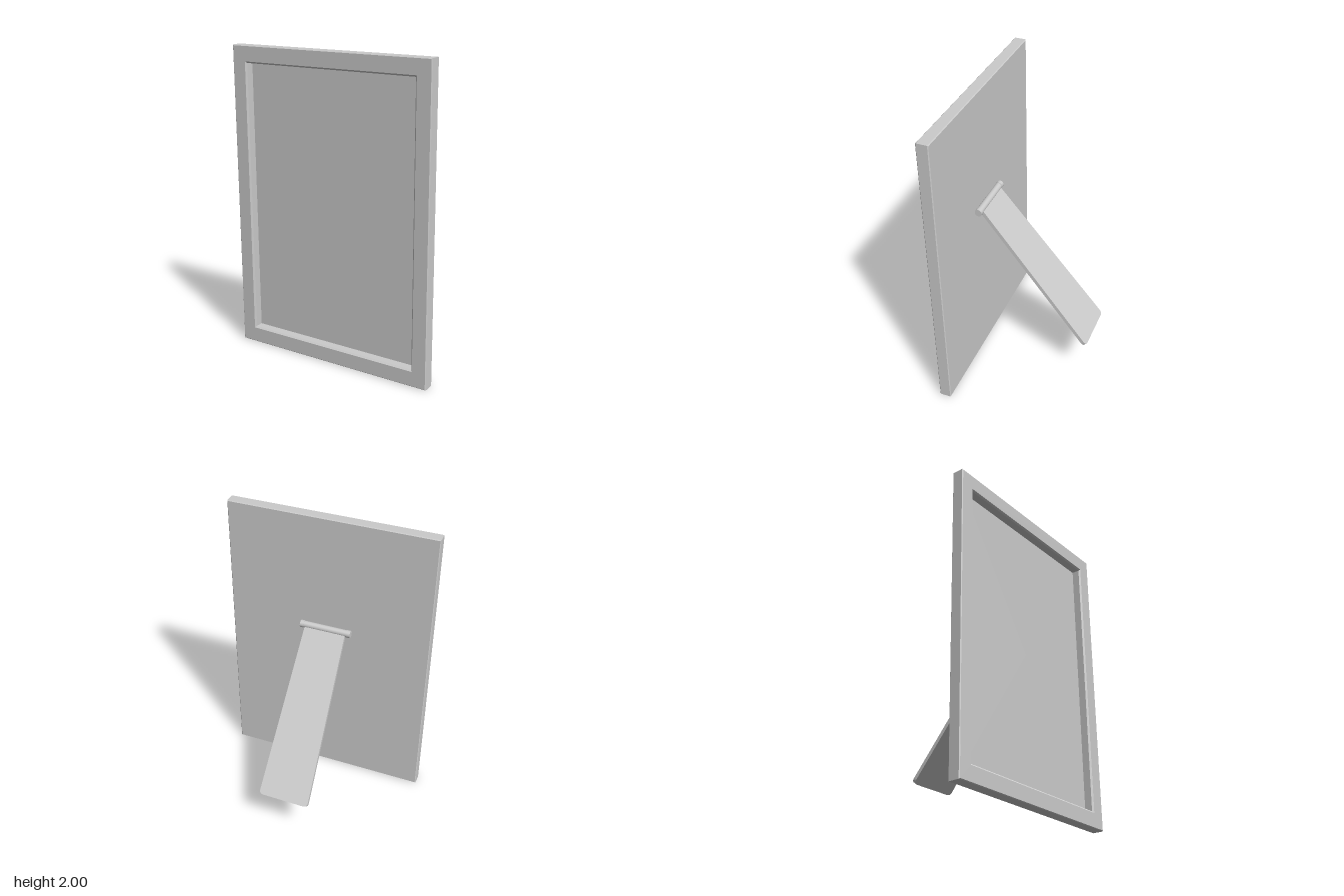
import * as THREE from 'three';

const material = new THREE.MeshStandardMaterial({ color: 0xcccccc });
const flatMaterial = new THREE.MeshStandardMaterial({ color: 0xcccccc, flatShading: true });

function addMesh(parent, name, geometry, mat = material) {
  const mesh = new THREE.Mesh(geometry, mat);
  mesh.name = name;
  parent.add(mesh);
  return mesh;
}

// Skin a chain of rectangles [halfWidth, halfHeight, z], from back to front
function rectangleLoft(rings) {
  const corners = [[-1, -1], [1, -1], [1, 1], [-1, 1]];
  const positions = [];
  const index = [];
  rings.forEach(([w, h, z], r) => {
    corners.forEach(([sx, sy]) => positions.push(sx * w, sy * h, z));
    if (r === 0) return;
    for (let i = 0; i < 4; i++) {
      const j = (i + 1) % 4;
      const a = (r - 1) * 4 + i, b = (r - 1) * 4 + j;
      index.push(a, b, b + 4, a, b + 4, a + 4);
    }
  });
  const geometry = new THREE.BufferGeometry();
  geometry.setAttribute('position', new THREE.Float32BufferAttribute(positions, 3));
  geometry.setIndex(index);
  const flat = geometry.toNonIndexed();
  flat.computeVertexNormals();
  return flat;
}

// Tapered leg outline, hanging down from the hinge, rounded at the foot
function legShape(top, bottom, length, r) {
  const s = new THREE.Shape();
  s.moveTo(-top, 0);
  s.lineTo(-bottom, r - length);
  s.quadraticCurveTo(-bottom, -length, r - bottom, -length);
  s.lineTo(bottom - r, -length);
  s.quadraticCurveTo(bottom, -length, bottom, r - length);
  s.lineTo(top, 0);
  s.closePath();
  return s;
}

export function createModel() {
  const model = new THREE.Group();
  model.name = 'pictureFrame';

  // Frame with closed back, softened edges and a recessed picture area
  const W = 0.705, H = 1, e = 0.005;
  const frame = addMesh(model, 'frame', rectangleLoft([
    [0, 0, 0.35],
    [W - e, H - e, 0.35],
    [W, H, 0.35 + e],
    [W, H, 0.43 - e],
    [W - e, H - e, 0.43],
    [0.61, 0.9, 0.43],
    [0.6, 0.89, 0.42],
    [0.6, 0.89, 0.37],
    [0, 0, 0.37],
  ]), flatMaterial);
  frame.position.y = 1;

  // Easel stand on the back
  const stand = new THREE.Group();
  stand.name = 'stand';
  stand.position.set(0.008, 1.2, 0.327);
  model.add(stand);

  // Hinge barrel with a knuckle at each end
  const barrel = addMesh(stand, 'hingeBarrel', new THREE.CylinderGeometry(0.023, 0.023, 0.3, 32));
  barrel.rotation.z = Math.PI / 2;
  for (const side of [-1, 1]) {
    const knuckle = addMesh(stand, side > 0 ? 'leftKnuckle' : 'rightKnuckle',
      new THREE.CylinderGeometry(0.025, 0.025, 0.028, 32));
    knuckle.rotation.z = Math.PI / 2;
    knuckle.position.x = side * 0.164;
  }

  // Leg leaning backwards
  const thickness = 0.025;
  const legGeometry = new THREE.ExtrudeGeometry(legShape(0.143, 0.174, 1.188, 0.03),
    { depth: thickness, bevelEnabled: false, curveSegments: 8 });
  legGeometry.translate(0, 0, -thickness / 2);
  addMesh(stand, 'leg', legGeometry).rotation.x = 0.682;

  return model;
}
